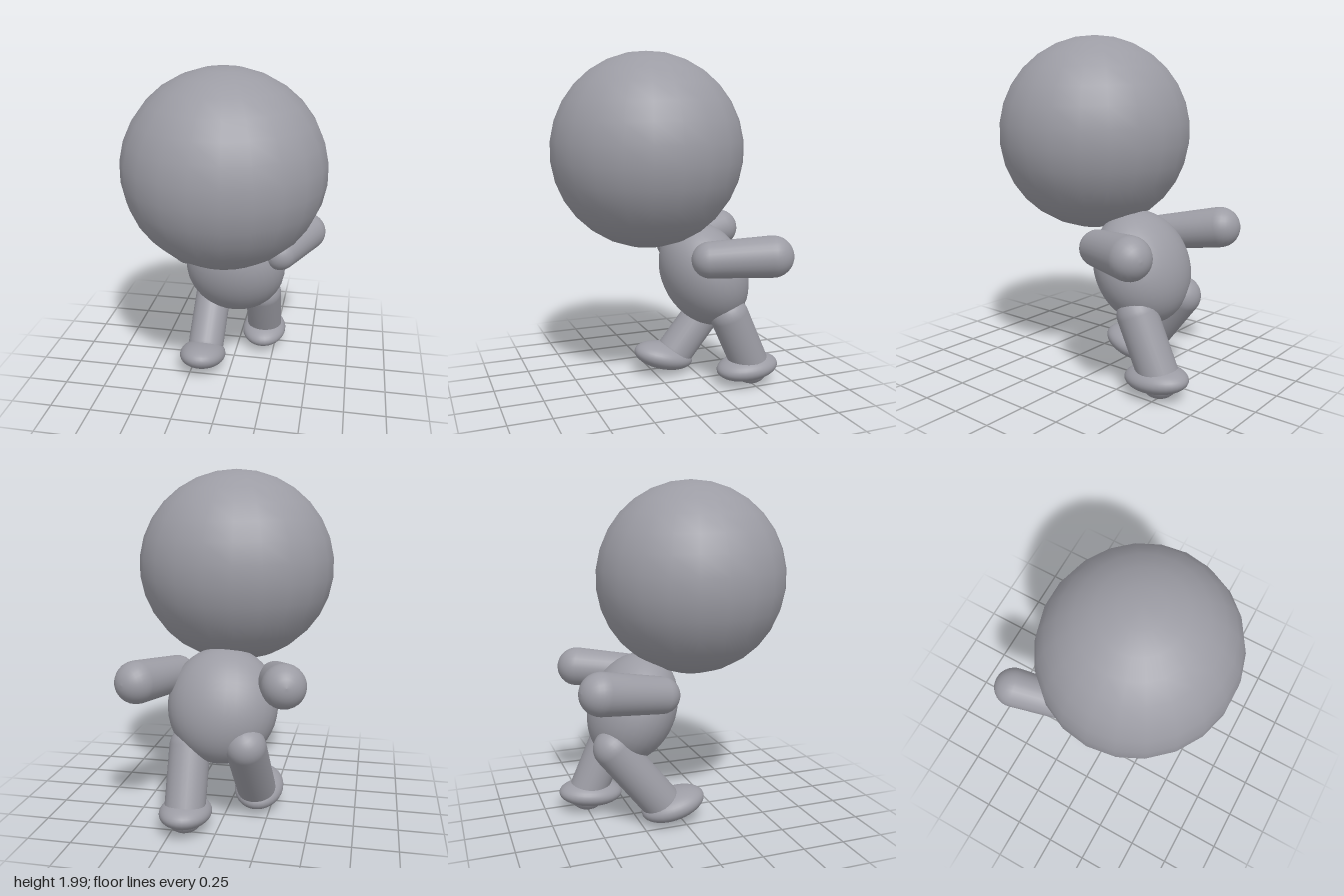
import * as THREE from 'three';

const bodyGrey = new THREE.MeshStandardMaterial({ color: 0x9c9ca4 });
bodyGrey.name = 'bodyGrey';

// Stretched ball: centre, radii and forward tilt
function ball(name, centre, radii, tilt = 0, sides = 32) {
  const mesh = new THREE.Mesh(new THREE.SphereGeometry(1, sides, Math.round(sides * 0.7)), bodyGrey);
  mesh.name = name;
  mesh.position.set(...centre);
  mesh.scale.set(...radii);
  mesh.rotation.x = tilt;
  return mesh;
}

// Round-ended, slightly tapered limb from point a (radius ra) to point b (radius rb)
function limb(name, a, b, ra, rb) {
  const start = new THREE.Vector3(...a);
  const axis = new THREE.Vector3(...b).sub(start);
  const length = axis.length();
  const lean = Math.asin((ra - rb) / length);
  const steps = 8;
  const profile = [];
  for (let i = 0; i <= steps; i++) {
    const t = -Math.PI / 2 + (i / steps) * (Math.PI / 2 + lean);
    profile.push(new THREE.Vector2(Math.max(0, ra * Math.cos(t)), ra * Math.sin(t)));
  }
  for (let i = 0; i <= steps; i++) {
    const t = lean + (i / steps) * (Math.PI / 2 - lean);
    profile.push(new THREE.Vector2(Math.max(0, rb * Math.cos(t)), length + rb * Math.sin(t)));
  }
  const mesh = new THREE.Mesh(new THREE.LatheGeometry(profile, 28), bodyGrey);
  mesh.name = name;
  mesh.position.copy(start);
  mesh.quaternion.setFromUnitVectors(new THREE.Vector3(0, 1, 0), axis.normalize());
  return mesh;
}

export function createModel() {
  const model = new THREE.Group();
  model.name = 'runningFigure';

  // Big head and forward-leaning torso
  model.add(ball('head', [0, 1.44, 0.112], [0.578, 0.562, 0.556], 0, 22));
  model.add(ball('torso', [0.008, 0.685, -0.25], [0.317, 0.335, 0.25], 0.43));

  // Arms swept backwards
  model.add(limb('leftArm', [0.3, 0.832, -0.16], [0.44, 0.855, -0.485], 0.105, 0.12));
  model.add(limb('rightArm', [-0.28, 0.825, -0.165], [-0.375, 0.89, -0.533], 0.105, 0.12));

  // Legs in stride: left back, right forward
  model.add(limb('leftLeg', [0.18, 0.455, -0.345], [0.175, 0.122, -0.497], 0.117, 0.115));
  model.add(limb('rightLeg', [-0.155, 0.5, -0.415], [-0.17, 0.15, -0.14], 0.115, 0.115));

  // Flattened feet
  model.add(ball('leftFoot', [0.175, 0.116, -0.475], [0.146, 0.078, 0.195], 0.08));
  model.add(ball('rightFoot', [-0.175, 0.122, -0.06], [0.146, 0.084, 0.195], -0.25));

  return model;
}
